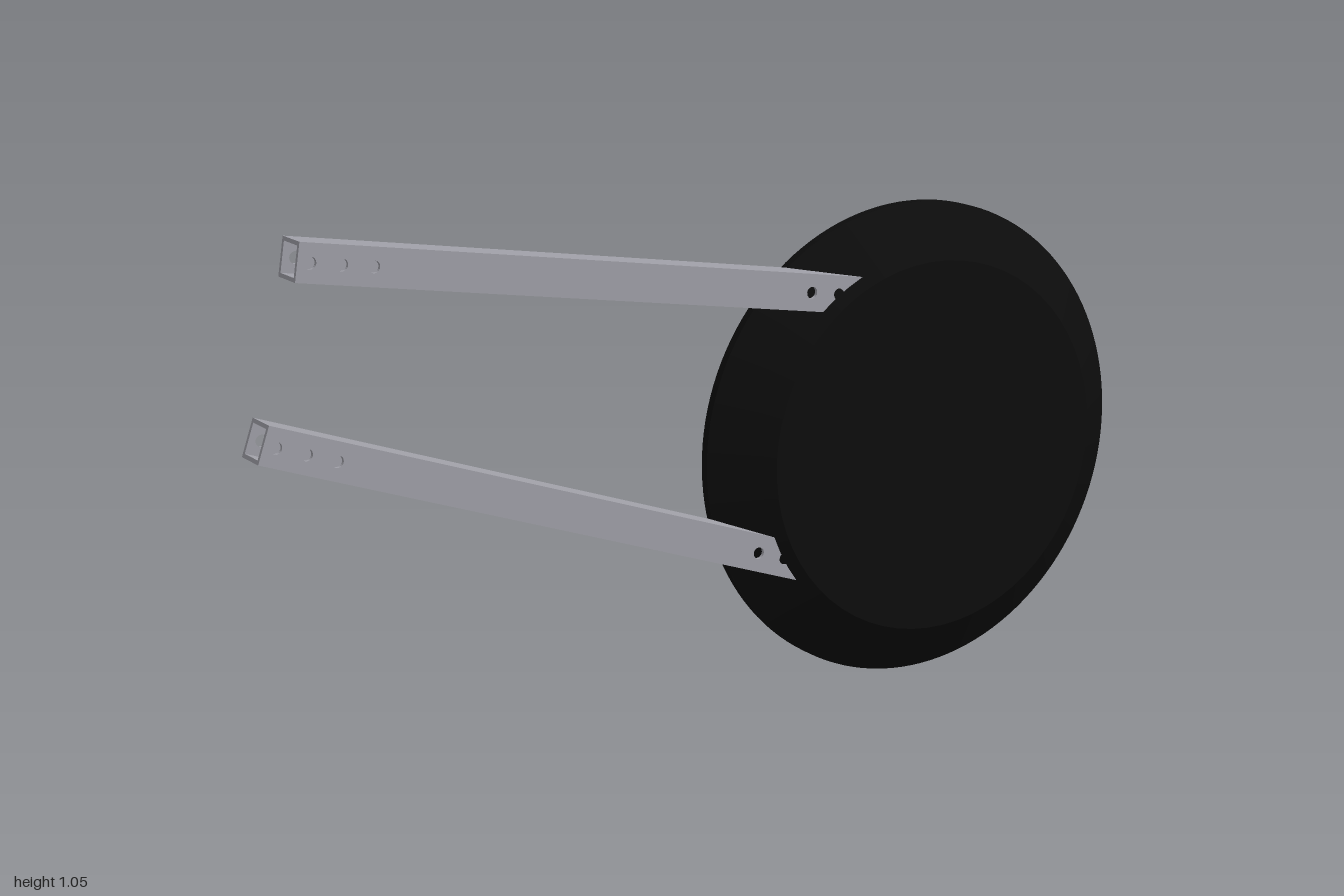
import * as THREE from 'three';

const black = new THREE.MeshStandardMaterial({ color: 0x0c0c0c });
black.name = 'black rubber';
const grey = new THREE.MeshStandardMaterial({ color: 0xa0a0a8 });
grey.name = 'grey metal';

const TILT = THREE.MathUtils.degToRad(-13.5); // symmetry axis between both arms
const SPREAD = THREE.MathUtils.degToRad(5);
const ARM = 0.076, WALL = 0.008, LENGTH = 1.28;
const HOLES = [0.026, 0.09, 0.155];

function add(group, name, geometry, material, x = 0, y = 0, z = 0) {
  const mesh = new THREE.Mesh(geometry, material);
  mesh.name = name;
  mesh.position.set(x, y, z);
  group.add(mesh);
  return mesh;
}

// Hollow square tube with three bolt holes at each end
function createArm(name) {
  const arm = new THREE.Group();
  arm.name = name;
  const h = ARM / 2;
  const side = new THREE.Shape([[0, -h], [LENGTH, -h], [LENGTH, h], [0, h]].map(p => new THREE.Vector2(...p)));
  for (const d of HOLES) {
    for (const x of [d, LENGTH - d]) {
      side.holes.push(new THREE.Path().absarc(x, 0, 0.012, 0, Math.PI * 2, true));
    }
  }
  const plate = new THREE.ExtrudeGeometry(side, { depth: WALL, bevelEnabled: false, curveSegments: 10 });
  add(arm, 'frontWall', plate, grey, 0, 0, h - WALL);
  add(arm, 'backWall', plate, grey, 0, 0, -h);
  const web = new THREE.BoxGeometry(LENGTH, WALL, ARM - 2 * WALL);
  for (const s of [1, -1]) {
    add(arm, s > 0 ? 'topWall' : 'bottomWall', web, grey, LENGTH / 2, s * (h - WALL / 2), 0);
  }
  return arm;
}

// Round pad: slotted back plate plus tapered front
function createDisc() {
  const disc = new THREE.Group();
  disc.name = 'disc';
  const outline = new THREE.Shape().absarc(0, 0, 0.5, 0, Math.PI * 2, false);
  for (let i = 0; i < 4; i++) {
    const slot = [[0.14, -0.034], [0.14, 0.034], [0.34, 0.034], [0.34, -0.034]]
      .map(p => new THREE.Vector2(...p).rotateAround(new THREE.Vector2(), i * Math.PI / 2));
    outline.holes.push(new THREE.Path(slot));
  }
  const plate = new THREE.ExtrudeGeometry(outline, { depth: 0.02, bevelEnabled: false, curveSegments: 64 });
  add(disc, 'slottedBackPlate', plate, black, 0, 0, -0.055);
  const taper = new THREE.CylinderGeometry(0.39, 0.5, 0.09, 64).rotateX(Math.PI / 2);
  add(disc, 'taperedFront', taper, black, 0, 0, 0.01);
  disc.position.set(0.5, 0.5, 0);
  disc.rotation.z = TILT;
  return disc;
}

export function createModel() {
  const model = new THREE.Group();
  model.name = 'discWithArms';
  model.add(createDisc());

  const upper = createArm('upperArm');
  upper.position.set(-0.91, 1.017, 0);
  upper.rotation.z = TILT + SPREAD;
  const lower = createArm('lowerArm');
  lower.position.set(-0.988, 0.684, 0);
  lower.rotation.z = TILT - SPREAD;
  model.add(upper, lower);
  return model;
}
